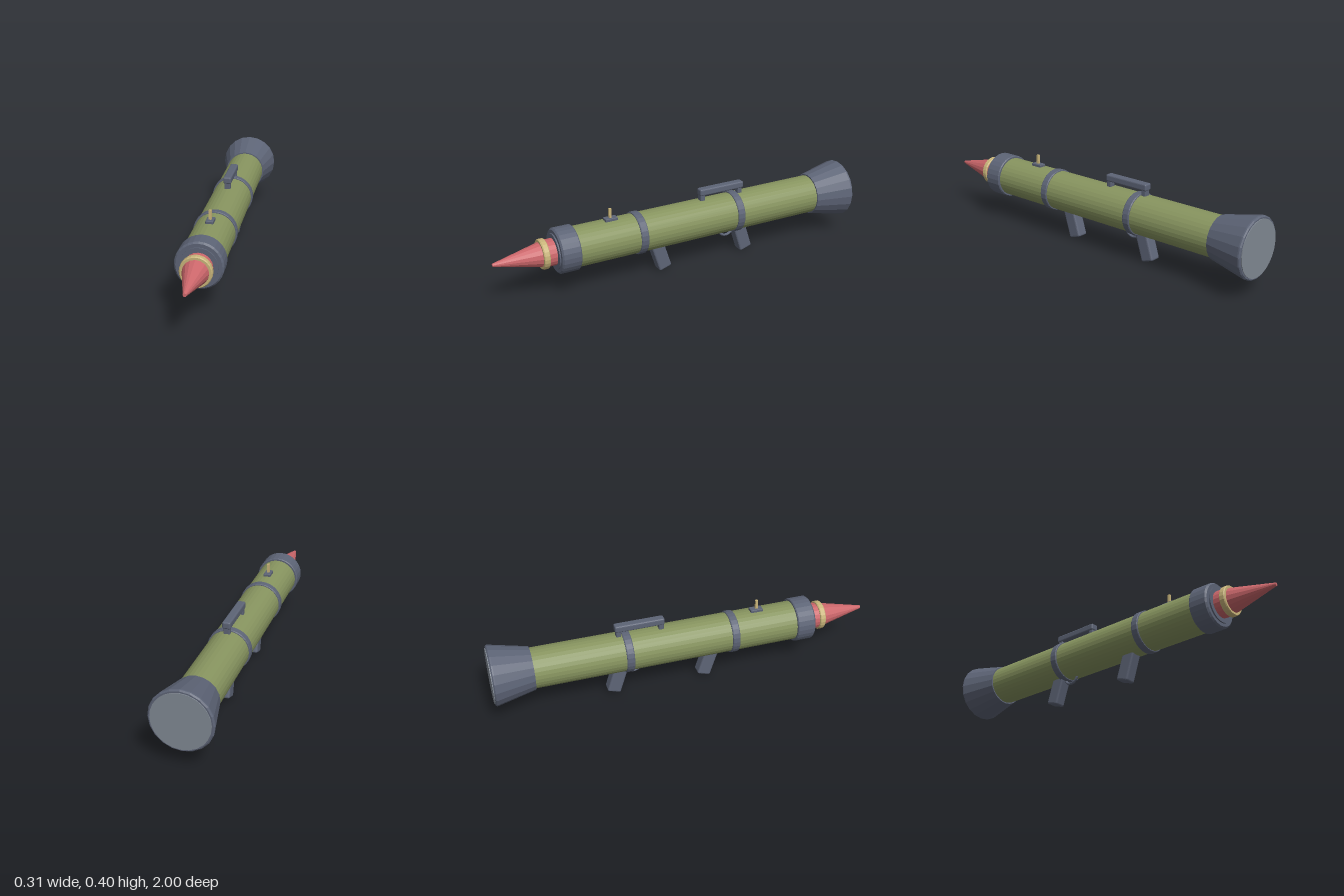
import * as THREE from 'three';
import { RoundedBoxGeometry } from 'three/addons/geometries/RoundedBoxGeometry.js';

const AXIS = 0.24; // height of the tube axis

export function createModel() {
  const model = new THREE.Group();
  model.name = 'shoulderLauncher';

  const paint = (name, color) => {
    const m = new THREE.MeshStandardMaterial({ color, flatShading: true });
    m.name = name;
    return m;
  };
  const olive = paint('oliveGreen', 0x87945f);
  const metal = paint('darkMetal', 0x5d6476);
  const red = paint('warheadRed', 0xcc676b);
  const gold = paint('brass', 0xc8b47a);
  const grey = paint('paleGrey', 0x808892);

  const add = (name, geometry, material, x = 0, y = 0, z = 0) => {
    const mesh = new THREE.Mesh(geometry, material);
    mesh.name = name;
    mesh.position.set(x, y, z);
    model.add(mesh);
    return mesh;
  };
  // Solid of revolution along z; profile is [radius, z] from back to front
  const turned = (name, profile, material, sides = 24) => {
    const points = profile.map(([r, z]) => new THREE.Vector2(r, z));
    return add(name, new THREE.LatheGeometry(points, sides).rotateX(Math.PI / 2), material, 0, AXIS, 0);
  };
  const box = (name, w, h, d, material, x, y, z, r = 0.005) =>
    add(name, new RoundedBoxGeometry(w, h, d, 2, r), material, x, y, z);

  // Tube with muzzle collar, clamps and flared exhaust
  turned('tube', [[0, -0.82], [0.103, -0.82], [0.103, 0.62], [0, 0.62]], olive, 32);
  turned('muzzleCollar', [[0, 0.59], [0.111, 0.59], [0.115, 0.595], [0.115, 0.682], [0.107, 0.69],
    [0.09, 0.69], [0.09, 0.697], [0, 0.697]], metal, 28);
  for (const z of [0.25, -0.31]) {
    turned('clampBand', [[0.1, z - 0.02], [0.107, z - 0.02], [0.11, z - 0.016],
      [0.11, z + 0.016], [0.107, z + 0.02], [0.1, z + 0.02]], metal, 28);
  }
  turned('exhaustFlare', [[0, -0.996], [0.147, -0.996], [0.153, -0.99], [0.153, -0.983],
    [0.11, -0.79], [0, -0.79]], metal, 20);
  turned('exhaustCover', [[0, -1], [0.14, -1], [0.14, -0.994]], grey, 24);

  // Warhead
  turned('warheadBody', [[0, 0.67], [0.068, 0.67], [0.068, 0.74], [0, 0.74]], red, 20);
  turned('warheadRing', [[0, 0.735], [0.072, 0.735], [0.076, 0.739], [0.076, 0.761],
    [0.072, 0.766], [0, 0.766]], gold, 24);
  turned('warheadCone', [[0, 0.76], [0.063, 0.76], [0.008, 1], [0, 1]], red, 16);

  // Slanted grips
  const tilt = 0.31;
  for (const [name, z] of [['frontGrip', 0.124], ['rearGrip', -0.364]]) {
    box(name, 0.062, 0.165, 0.072, metal, 0, 0.09, z, 0.01).rotation.x = tilt;
  }

  // Trigger guard, a half ring below the tube
  const guard = new THREE.TorusGeometry(0.043, 0.007, 8, 16, Math.PI);
  guard.rotateZ(Math.PI).rotateY(Math.PI / 2);
  add('triggerGuard', guard, metal, 0, 0.15, -0.275);

  // Carrying handle
  box('handleBar', 0.042, 0.036, 0.257, metal, 0, 0.387, -0.237, 0.008);
  for (const z of [-0.125, -0.347]) box('handlePost', 0.032, 0.05, 0.026, metal, 0, 0.353, z);

  // Front sight
  box('sightBase', 0.038, 0.02, 0.066, metal, 0, 0.345, 0.39, 0.003);
  add('sightPost', new THREE.BoxGeometry(0.013, 0.055, 0.013), gold, 0, 0.375, 0.392);

  return model;
}
